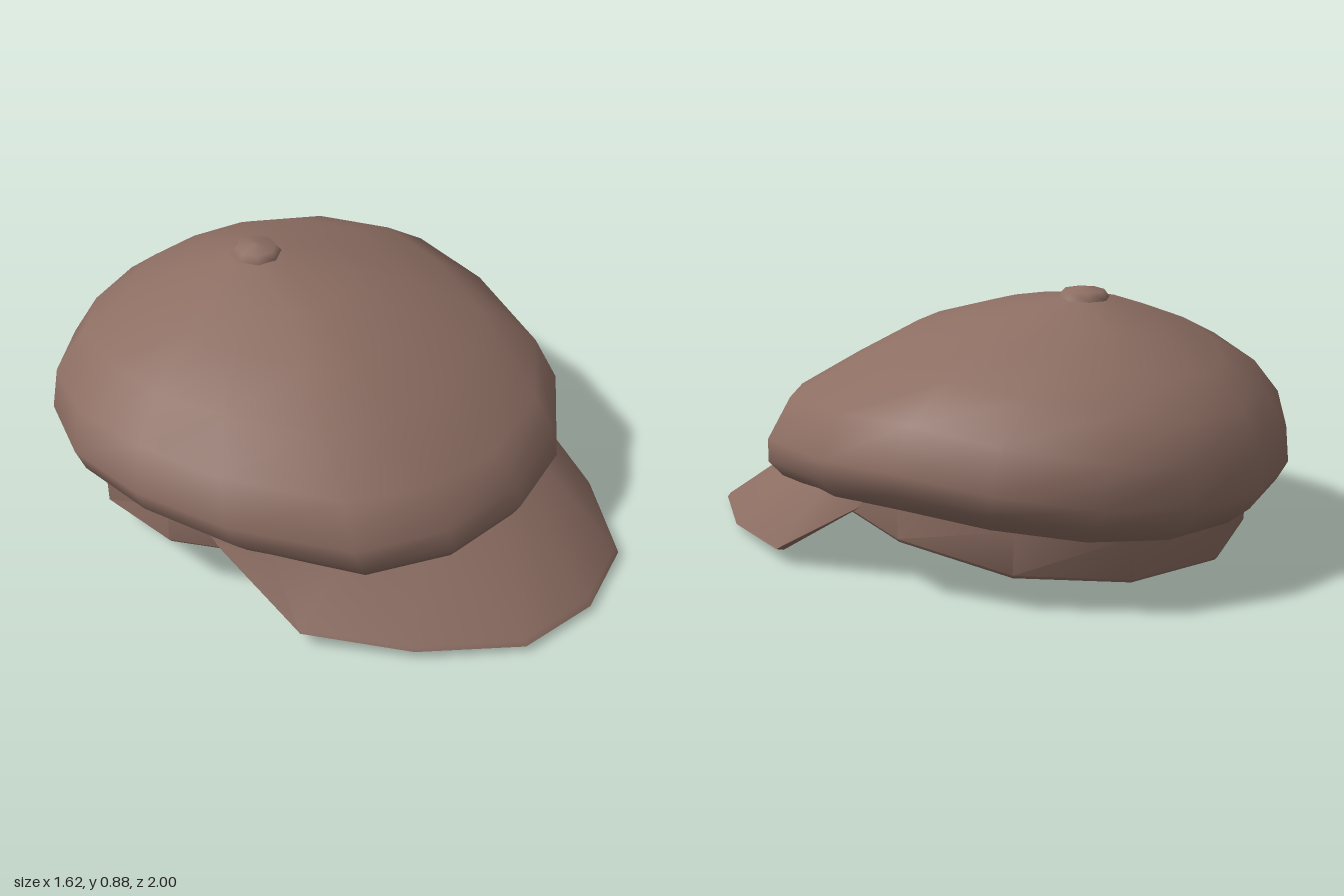
import * as THREE from 'three';
import { toCreasedNormals } from 'three/addons/utils/BufferGeometryUtils.js';

// How far each ring point reaches to the front (1) or back (-1), over half a turn
const CROWN_REACH = [1, 0.94, 0.755, 0.35, 0, -0.395, -0.728, -0.927, -1];
const BAND_REACH = Array.from({ length: 7 }, (_, i) => Math.cos(i * Math.PI / 6));

// Skin a list of point rows; closed rows wrap around.
function loft(rows, closed) {
  const n = rows[0].length, index = [];
  for (let i = 0; i < rows.length - 1; i++) {
    for (let j = 0; j < (closed ? n : n - 1); j++) {
      const k = (j + 1) % n;
      const a = i * n + j, b = i * n + k, c = a + n, d = b + n;
      index.push(a, c, b, b, c, d);
    }
  }
  const g = new THREE.BufferGeometry();
  g.setAttribute('position', new THREE.Float32BufferAttribute(rows.flat(2), 3));
  g.setIndex(index);
  g.computeVertexNormals();
  return g;
}

// Egg-shaped ring: half width, front z, back z, centre z, height as a function.
function ring(reach, w, front, back, mid, height) {
  const sides = 2 * (reach.length - 1);
  return Array.from({ length: sides }, (_, j) => {
    const t = (j / sides) * Math.PI * 2, r = reach[Math.min(j, sides - j)];
    const z = mid + (r > 0 ? front - mid : mid - back) * r;
    return [w * Math.sin(t), height(z, t), z];
  });
}

export function createModel() {
  const group = new THREE.Group();
  const cloth = new THREE.MeshStandardMaterial({ color: 0x8d6e63 });
  cloth.name = 'brown cloth';
  const add = (name, geometry) => {
    const mesh = new THREE.Mesh(geometry, cloth);
    mesh.name = name;
    group.add(mesh);
    return mesh;
  };

  // Crown: half width, side y, front z, front y, back z, back y, centre z, dip
  const profile = [
    [0.001, 0.849, -0.349, 0.849, -0.351, 0.849, -0.35, 0],
    [0.08, 0.845, -0.26, 0.843, -0.44, 0.84, -0.35, 0],
    [0.23, 0.81, -0.02, 0.80, -0.64, 0.76, -0.33, 0],
    [0.42, 0.75, 0.21, 0.73, -0.81, 0.66, -0.30, 0],
    [0.61, 0.675, 0.41, 0.61, -0.93, 0.56, -0.26, 0],
    [0.76, 0.57, 0.62, 0.48, -0.995, 0.43, -0.22, 0],
    [0.81, 0.43, 0.70, 0.37, -1.0, 0.31, -0.19, 0.02],
    [0.785, 0.355, 0.718, 0.30, -0.965, 0.25, -0.18, 0.03],
    [0.72, 0.29, 0.69, 0.252, -0.89, 0.19, -0.17, 0.03],
    [0.6, 0.32, 0.56, 0.28, -0.76, 0.265, -0.16, 0],
  ];
  add('crown', loft(profile.map(([w, ys, zf, yf, zb, yb, mid, dip]) =>
    ring(CROWN_REACH, w, zf, zb, mid, (z, t) => {
      const c = Math.cos(t);
      const sag = c > 0 ? dip * Math.sin(2 * t) ** 2 : 0;
      return ys + ((c > 0 ? yf : yb) - ys) * Math.abs(c) ** 1.5 - sag;
    })), true));

  // Head band, its hem sloping down towards the back
  const hem = (z) => Math.min(0.255, 0.235 + 0.285 * (z - 0.05) + 0.103 * (z - 0.05) ** 2);
  const band = (w, front, back, height) => ring(BAND_REACH, w, front, back, -0.15, height);
  add('headBand', toCreasedNormals(loft([
    band(0.715, 0.655, -0.87, (z) => hem(z) + 0.15),
    band(0.715, 0.655, -0.86, (z) => hem(z) + 0.012),
    band(0.705, 0.645, -0.85, hem),
    band(0.68, 0.625, -0.825, hem),
    band(0.67, 0.615, -0.82, () => 0.28),
  ], true), 0.7));

  // Flat lining inside the band
  add('lining', loft([
    band(0.69, 0.66, -0.84, () => 0.235),
    band(0.001, -0.149, -0.151, () => 0.235),
  ], true));

  // Brim: half of the inner and outer edges, mirrored across x
  const mirror = (half) => [
    ...half.slice(1).reverse().map(([x, y, z]) => [-x, y, z]), ...half];
  const inner = mirror([[0, 0.268, 0.66], [0.28, 0.268, 0.59], [0.5, 0.27, 0.42],
    [0.64, 0.275, 0.21], [0.69, 0.28, 0]]);
  const outer = mirror([[0, 0.024, 1], [0.28, 0.024, 0.937], [0.52, 0.034, 0.68],
    [0.688, 0.055, 0.36], [0.69, 0.25, 0.03]]);
  // Shift an edge inward and vertically, following the brim's curl
  const shift = (row, side, rise, back) => row.map(([x, y, z], i) => {
    const a = ((i - 4) / 4) * Math.PI / 2;
    return [x - side * Math.sin(a), y + rise * Math.cos(a), z - back * Math.cos(a)];
  });
  add('brim', toCreasedNormals(loft([
    inner,
    shift(outer, 0.002, 0.018, 0.015),
    outer,
    shift(outer, 0.028, -0.02, 0.025),
    shift(inner, 0.03, -0.028, 0.015),
  ], false), 0.9));

  // Button on top
  const button = add('button', new THREE.LatheGeometry(
    [[0.085, -0.015], [0.085, 0.004], [0.068, 0.027], [0, 0.04]]
      .map(([x, y]) => new THREE.Vector2(x, y)), 8));
  button.position.set(0, 0.84, -0.355);

  return group;
}
